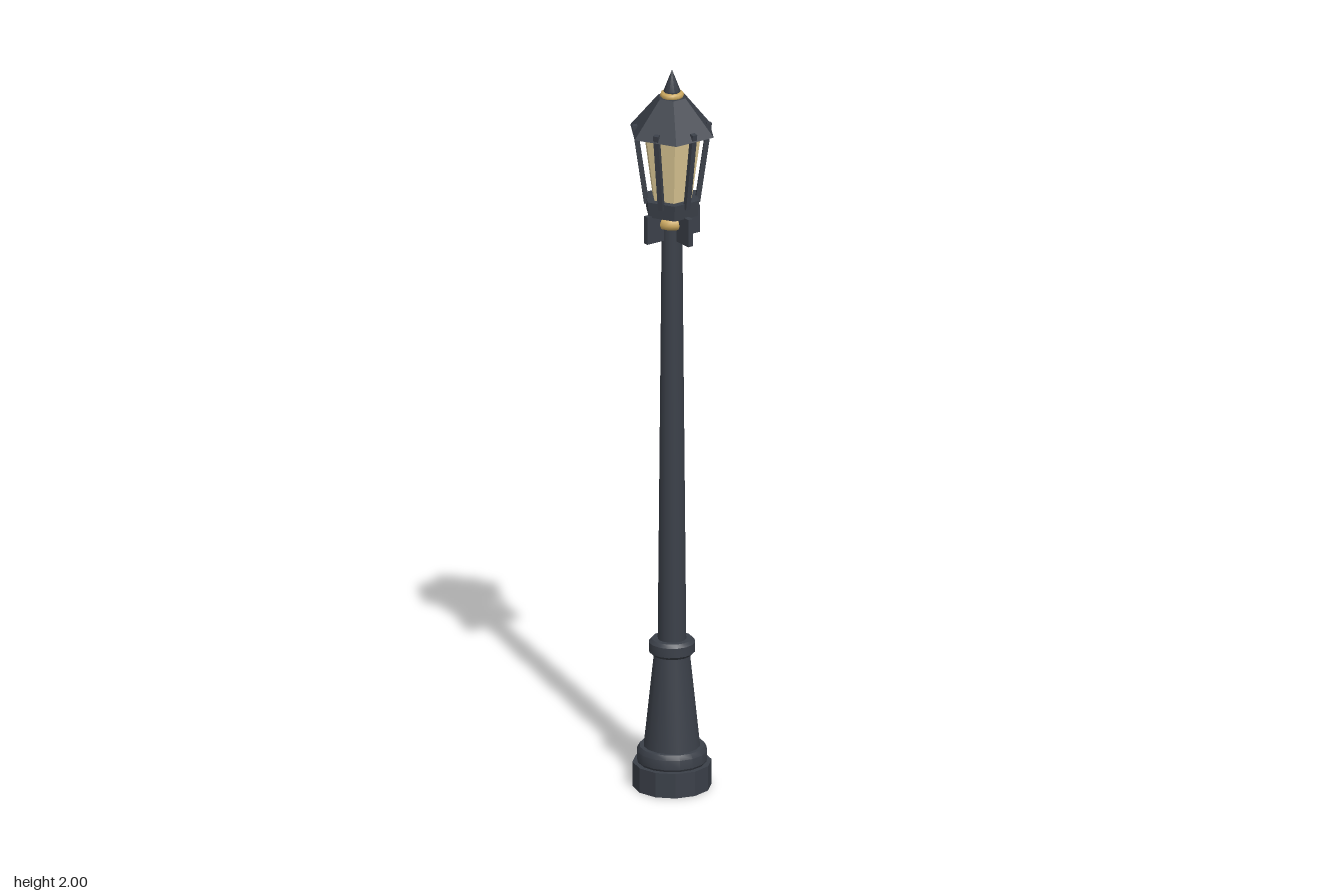
import * as THREE from 'three';
import { toCreasedNormals } from 'three/addons/utils/BufferGeometryUtils.js';

const iron = new THREE.MeshStandardMaterial({ color: 0x3b4049 });
iron.name = 'dark iron';
const brass = new THREE.MeshStandardMaterial({ color: 0xcba85f });
brass.name = 'brass';
const glass = new THREE.MeshStandardMaterial({ color: 0xdbc794 });
glass.name = 'warm glass';

export function createModel() {
  const model = new THREE.Group();
  model.name = 'streetLamp';

  function add(name, geometry, material, y = 0, parent = model) {
    const mesh = new THREE.Mesh(geometry, material);
    mesh.name = name;
    mesh.position.y = y;
    parent.add(mesh);
    return mesh;
  }
  // Turned part from [radius, height] pairs, bottom to top
  function turned(name, profile, material, sides = 16, crease = 0.5) {
    const points = profile.map(([r, y]) => new THREE.Vector2(r, y));
    return add(name, toCreasedNormals(new THREE.LatheGeometry(points, sides), crease), material);
  }
  // Tapered prism with flat faces, standing between two heights
  function prism(name, topR, bottomR, y0, y1, sides, material) {
    const g = new THREE.CylinderGeometry(topR, bottomR, y1 - y0, sides);
    return add(name, toCreasedNormals(g, 0.2), material, (y0 + y1) / 2);
  }

  // Foot and post
  prism('plinth', 0.104, 0.104, 0, 0.068, 12, iron);
  turned('footRing', [[0, 0.066], [0.088, 0.066], [0.093, 0.074], [0.093, 0.1], [0.086, 0.113], [0, 0.113]], iron);
  turned('footCone', [[0, 0.11], [0.075, 0.11], [0.047, 0.375], [0, 0.375]], iron);
  turned('postCollar', [[0, 0.368], [0.053, 0.368], [0.061, 0.376], [0.061, 0.402], [0.053, 0.411], [0, 0.411]], iron);
  turned('post', [[0, 0.4], [0.038, 0.4], [0.027, 1.6], [0, 1.6]], iron);

  // Brass neck ring and four bracket plates under the lantern
  const neck = new THREE.TorusGeometry(0.029, 0.017, 8, 20);
  neck.rotateX(Math.PI / 2);
  add('neckRing', neck, brass, 1.577);
  for (let i = 0; i < 4; i++) {
    const arm = new THREE.Group();
    arm.name = 'bracket';
    arm.rotation.y = i * Math.PI / 2;
    add('bracketPlate', new THREE.BoxGeometry(0.053, 0.076, 0.015), iron, 1.568, arm).position.x = 0.0575;
    model.add(arm);
  }

  // Six-sided lantern
  prism('lanternSeat', 0.078, 0.074, 1.602, 1.645, 6, iron);
  prism('lanternGlass', 0.083, 0.056, 1.643, 1.828, 6, glass);
  prism('roof', 0.039, 0.12, 1.828, 1.925, 6, iron);

  // Leaning bars in front of each pane
  const low = new THREE.Vector2(0.067, 1.63), high = new THREE.Vector2(0.098, 1.848);
  for (let i = 0; i < 6; i++) {
    const side = new THREE.Group();
    side.name = 'lanternBar';
    side.rotation.y = i * Math.PI / 3;
    const bar = add('bar', new THREE.BoxGeometry(0.013, low.distanceTo(high), 0.014), iron, 0, side);
    bar.position.set((low.x + high.x) / 2, (low.y + high.y) / 2, 0);
    bar.rotation.z = -Math.atan2(high.x - low.x, high.y - low.y);
    model.add(side);
  }

  // Crown ring and pointed finial
  const crown = new THREE.TorusGeometry(0.023, 0.009, 8, 12);
  crown.rotateX(Math.PI / 2);
  add('crownRing', crown, brass, 1.93);
  turned('finial', [[0, 1.92], [0.02, 1.925], [0.022, 1.942], [0, 2]], iron, 10, 0.7);

  return model;
}
